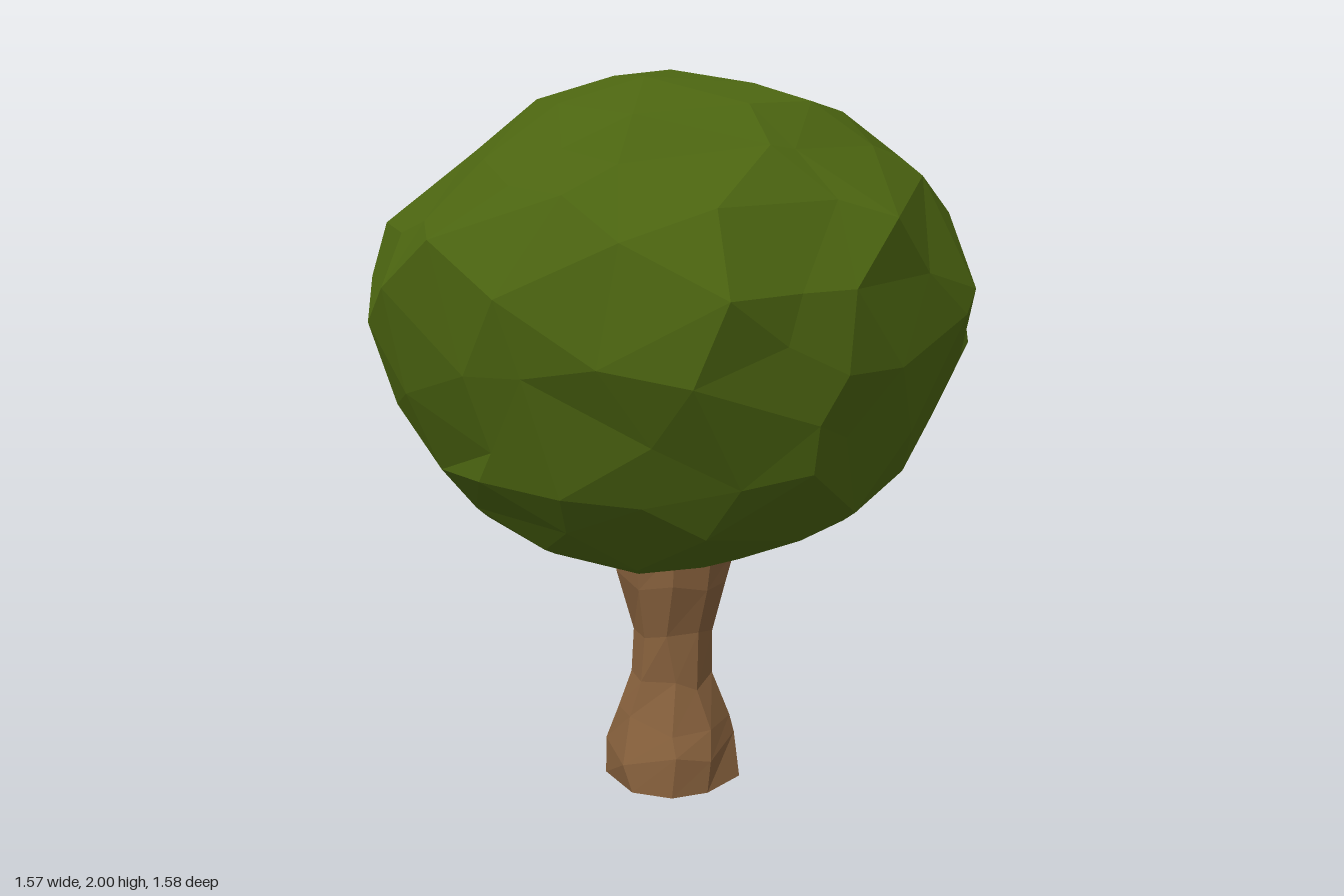
import * as THREE from 'three';
import { mergeVertices } from 'three/addons/utils/BufferGeometryUtils.js';

// Outline rows: [y, xMin, xMax, zMin, zMax]
const CANOPY = [
  [0.645, 0, 0, 0, 0],
  [0.655, -0.24, 0.14, -0.14, 0.24],
  [0.73, -0.40, 0.36, -0.35, 0.45],
  [0.80, -0.50, 0.50, -0.43, 0.53],
  [0.90, -0.60, 0.66, -0.55, 0.63],
  [1.04, -0.73, 0.72, -0.68, 0.72],
  [1.18, -0.76, 0.77, -0.79, 0.78],
  [1.30, -0.76, 0.82, -0.81, 0.79],
  [1.42, -0.82, 0.82, -0.82, 0.82],
  [1.60, -0.74, 0.76, -0.75, 0.75],
  [1.72, -0.62, 0.70, -0.62, 0.60],
  [1.85, -0.52, 0.53, -0.54, 0.49],
  [1.92, -0.30, 0.45, -0.42, 0.38],
  [1.97, -0.20, 0.20, -0.25, 0.24],
  [2.00, 0, 0, 0, 0],
];
const TRUNK = [
  [0, -0.18, 0.20, -0.20, 0.20],
  [0.10, -0.19, 0.19, -0.19, 0.20],
  [0.19, -0.145, 0.17, -0.165, 0.16],
  [0.30, -0.12, 0.12, -0.12, 0.12],
  [0.46, -0.10, 0.13, -0.115, 0.115],
  [0.60, -0.15, 0.17, -0.15, 0.15],
  [0.70, -0.18, 0.20, -0.18, 0.17],
  [0.76, -0.12, 0.14, -0.13, 0.12],
];

function seeded(seed) {
  return () => {
    seed = (seed * 16807) % 2147483647;
    return seed / 2147483647;
  };
}

// Interpolated outline at height y
function outline(rows, y) {
  let i = 0;
  while (i < rows.length - 2 && y > rows[i + 1][0]) i++;
  const t = THREE.MathUtils.clamp((y - rows[i][0]) / (rows[i + 1][0] - rows[i][0]), 0, 1);
  return rows[i].map((v, k) => THREE.MathUtils.lerp(v, rows[i + 1][k], t));
}

// Point on the outline in the horizontal direction (c, s)
function ringPoint(rows, y, c, s, k) {
  const [, x0, x1, z0, z1] = outline(rows, y);
  return [k * c * (c > 0 ? x1 : -x0), y, k * s * (s > 0 ? z1 : -z0)];
}

function facetedMesh(geometry, color, name) {
  const g = geometry.index ? geometry.toNonIndexed() : geometry;
  g.computeVertexNormals();
  const mesh = new THREE.Mesh(g, new THREE.MeshStandardMaterial({ color, flatShading: true }));
  mesh.name = name;
  return mesh;
}

// Bare welded copy, so that shared corners move together
function welded(geometry) {
  geometry.deleteAttribute('normal');
  geometry.deleteAttribute('uv');
  return mergeVertices(geometry, 1e-4);
}

// Leafy crown: a faceted ball with irregular corners, fitted to the outline
function makeCanopy() {
  const g = welded(new THREE.IcosahedronGeometry(1, 3));
  const p = g.attributes.position;
  const rand = seeded(4127);
  const d = new THREE.Vector3();
  for (let i = 0; i < p.count; i++) {
    d.fromBufferAttribute(p, i);
    const pole = Math.abs(d.y) > 0.99;
    const jitter = new THREE.Vector3(rand() - 0.5, rand() - 0.5, rand() - 0.5);
    if (!pole) d.addScaledVector(jitter, 0.19).normalize();
    const y = 1.3225 + d.y * 0.6775;
    const a = Math.atan2(d.z, d.x);
    const k = 0.955 + 0.075 * rand();
    p.setXYZ(i, ...ringPoint(CANOPY, y, Math.cos(a), Math.sin(a), k));
  }
  return facetedMesh(g, 0x4b6410, 'canopy');
}

// Trunk: a nine-sided stem, flared at foot and top, slightly gnarled
function makeTrunk() {
  const g = welded(new THREE.CylinderGeometry(1, 1, 1, 9, TRUNK.length - 1));
  const p = g.attributes.position;
  const rand = seeded(911);
  for (let i = 0; i < p.count; i++) {
    const row = Math.round((p.getY(i) + 0.5) * (TRUNK.length - 1));
    const inner = row > 0 && row < TRUNK.length - 1;
    const r = Math.hypot(p.getX(i), p.getZ(i));
    const a = Math.atan2(p.getZ(i), p.getX(i)) + (rand() - 0.5) * 0.3;
    const y = TRUNK[row][0] + (inner ? (rand() - 0.5) * 0.05 : 0);
    const k = r < 0.01 ? 0 : 0.97 + 0.08 * rand();
    p.setXYZ(i, ...ringPoint(TRUNK, y, Math.cos(a), Math.sin(a), k));
  }
  return facetedMesh(g, 0x86603c, 'trunk');
}

export function createModel() {
  const tree = new THREE.Group();
  tree.name = 'tree';
  tree.add(makeTrunk(), makeCanopy());
  return tree;
}
